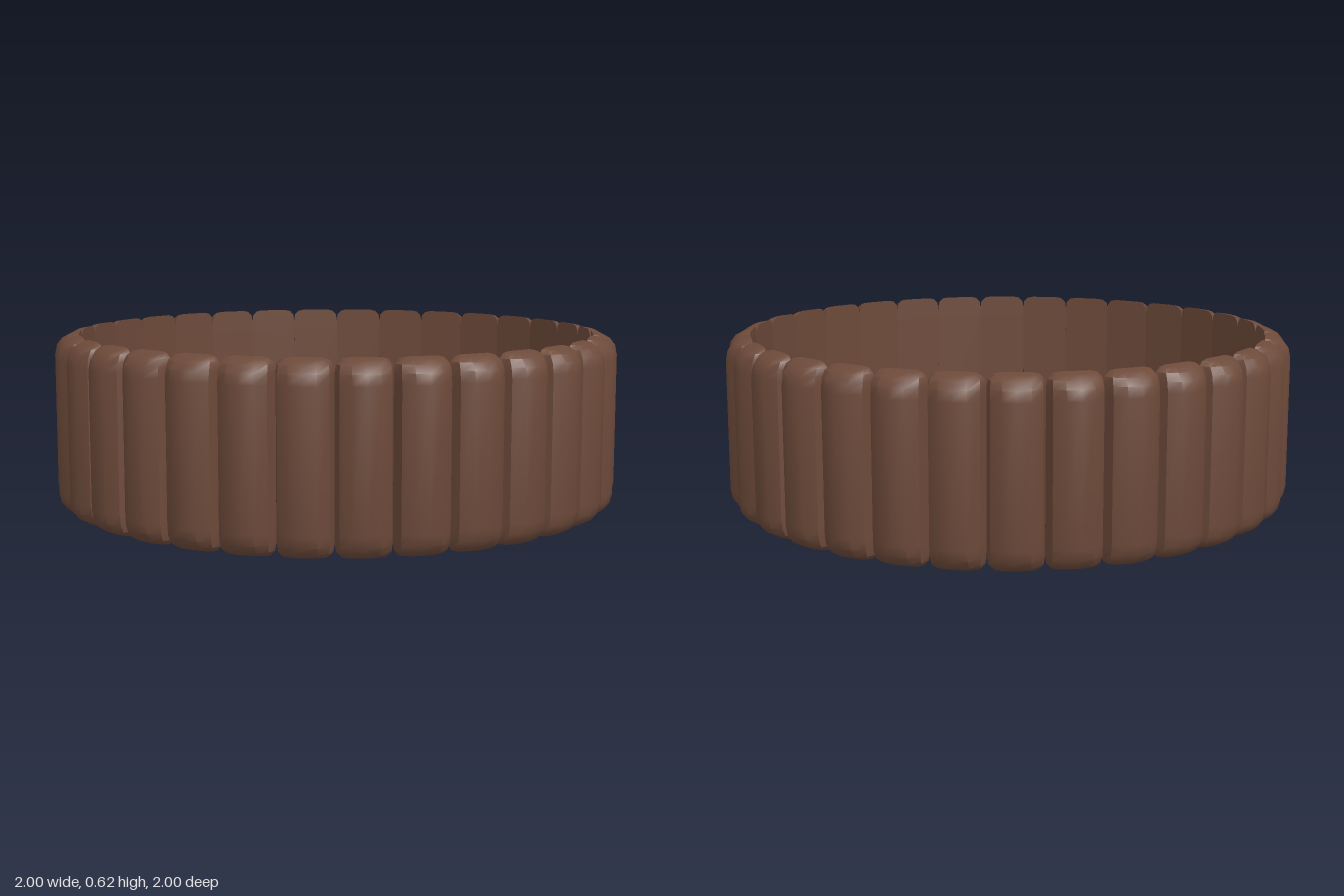
import * as THREE from 'three';
import { toCreasedNormals } from 'three/addons/utils/BufferGeometryUtils.js';

const COUNT = 32;      // beads around the band
const RADIUS = 0.914;  // distance from the centre to the flat back of a bead
const HEIGHT = 0.62;

// Plan section of a bead: [across, outwards]; steep sides, then a low dome
const SECTION = [
  [-0.09, 0], [-0.08, 0.05], [-0.045, 0.08], [0, 0.089],
  [0.045, 0.08], [0.08, 0.05], [0.09, 0],
];

// Rounded end of a bead: [distance from the end, depth scale, width scale]
const END = [
  [0, 0, 0.55], [0.005, 0.38, 0.8], [0.02, 0.7, 0.96], [0.045, 0.92, 1], [0.08, 1, 1],
];

function beadGeometry() {
  const stations = [
    ...END.map(([e, d, w]) => [e, d, w]),
    ...[...END].reverse().map(([e, d, w]) => [HEIGHT - e, d, w]),
  ];
  const positions = [];
  const index = [];
  const n = SECTION.length;
  for (const [y, depth, width] of stations) {
    for (const [u, d] of SECTION) positions.push(u * width, y, d * depth);
  }
  // The last column joins back to the first and forms the flat back
  for (let j = 0; j < stations.length - 1; j++) {
    for (let i = 0; i < n; i++) {
      const a = j * n + i;
      const b = j * n + ((i + 1) % n);
      index.push(a, b, b + n, a, b + n, a + n);
    }
  }
  const geometry = new THREE.BufferGeometry();
  geometry.setAttribute('position', new THREE.Float32BufferAttribute(positions, 3));
  geometry.setIndex(index);
  return toCreasedNormals(geometry, THREE.MathUtils.degToRad(35));
}

export function createModel() {
  const model = new THREE.Group();
  model.name = 'beadedBand';
  const material = new THREE.MeshStandardMaterial({ color: 0x6d4a3a });
  const geometry = beadGeometry();

  // Beads stand side by side in a ring, backs facing inwards
  const start = THREE.MathUtils.degToRad(-1.4);
  for (let i = 0; i < COUNT; i++) {
    const angle = start + ((i + 0.5) / COUNT) * Math.PI * 2;
    const bead = new THREE.Mesh(geometry, material);
    bead.name = `bead${i + 1}`;
    bead.position.set(Math.sin(angle) * RADIUS, 0, Math.cos(angle) * RADIUS);
    bead.rotation.y = angle;
    model.add(bead);
  }
  return model;
}
